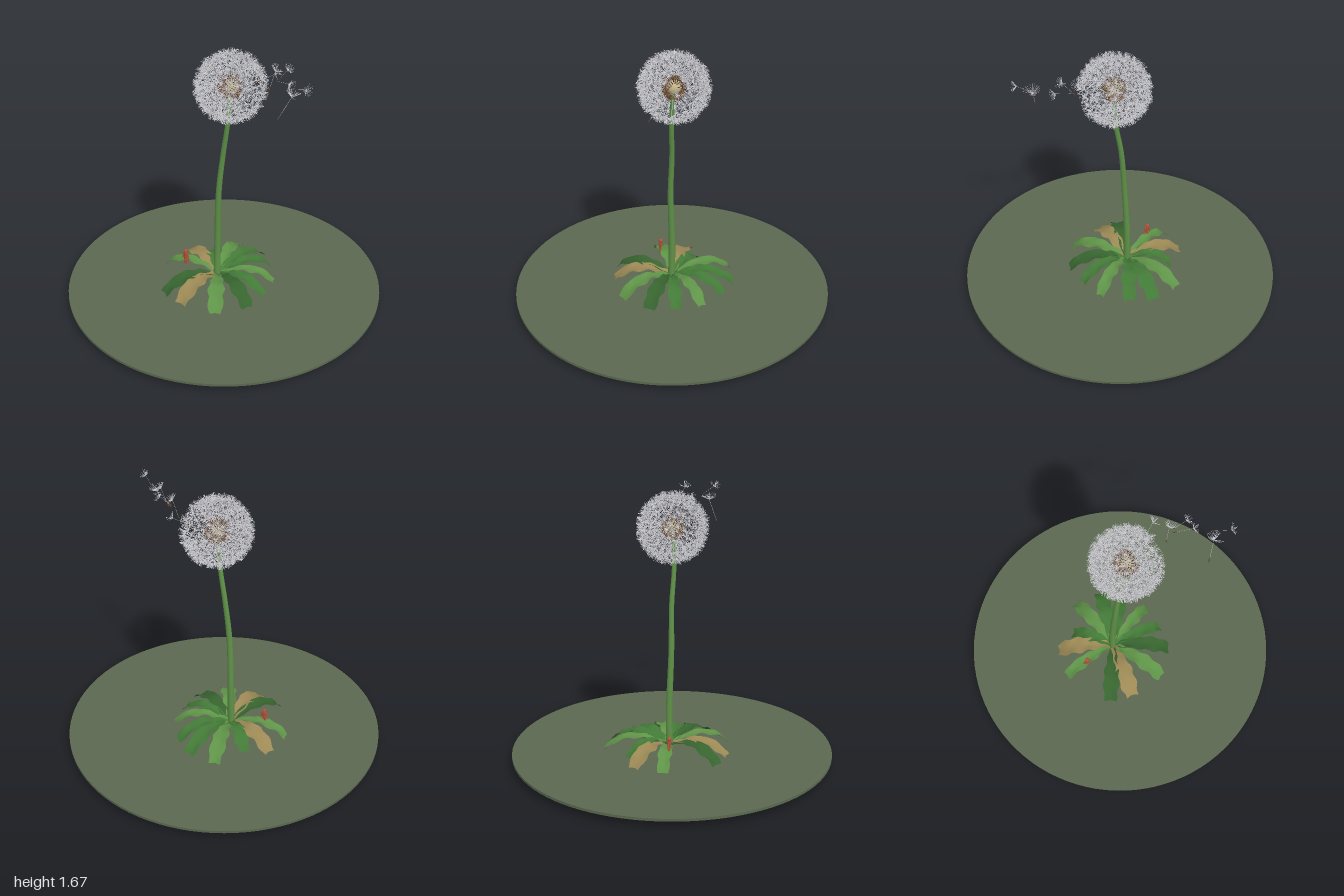
import * as THREE from 'three';
import { mergeGeometries } from 'three/addons/utils/BufferGeometryUtils.js';

const mat = (name, color, side = THREE.FrontSide) => {
  const m = new THREE.MeshStandardMaterial({ color, side });
  m.name = name;
  return m;
};
const V = (x, y, z) => new THREE.Vector3(x, y, z);
const UP = V(0, 1, 0);

// Seeded random numbers
let state = 11;
const rnd = () => {
  state = (state * 16807) % 2147483647;
  return state / 2147483647;
};

// Thin rod between two points
function rod(a, b, ra, rb, sides = 3, open = true) {
  const d = b.clone().sub(a);
  const g = new THREE.CylinderGeometry(rb, ra, d.length(), sides, 1, open);
  g.applyQuaternion(new THREE.Quaternion().setFromUnitVectors(UP, d.normalize()));
  return g.translate((a.x + b.x) / 2, (a.y + b.y) / 2, (a.z + b.z) / 2);
}

// One seed along +y with its base at the origin: achene, stalk and parachute hairs
function seedParts(hairCount) {
  const achene = new THREE.LatheGeometry(
    [[0, 0], [0.0035, 0.012], [0.0035, 0.02], [0.001, 0.032]].map(p => new THREE.Vector2(...p)), 5);
  const stalk = rod(V(0, 0.03, 0), V(0, 0.135, 0), 0.001, 0.0009);
  const hairs = [];
  for (let i = 0; i < hairCount; i++) {
    const a = i * 2.4, tilt = 0.45 + 0.95 * ((i * 0.618) % 1), l = 0.048;
    const tip = V(Math.cos(a) * Math.sin(tilt) * l, 0.135 + Math.cos(tilt) * l, Math.sin(a) * Math.sin(tilt) * l);
    hairs.push(rod(V(0, 0.135, 0), tip, 0.0011, 0.0007));
  }
  return { achene, stalk, hairs: mergeGeometries(hairs) };
}

// Leaf strip that arches over and droops to the ground, with scalloped edges
function leafGeometry(length, width, tipY, phase) {
  const g = new THREE.PlaneGeometry(2, 1, 4, 24);
  const arch = new THREE.SplineCurve([[0, 0.075], [0.25, 0.117], [0.52, 0.133], [0.8, 0.092], [1, tipY]]
    .map(p => new THREE.Vector2(...p)));
  const p = g.attributes.position, pt = new THREE.Vector2();
  for (let i = 0; i < p.count; i++) {
    const s = p.getX(i), t = p.getY(i) + 0.5;
    arch.getPoint(t, pt);
    const w = width * Math.min(1, 0.3 + 1.3 * t) * (1 - 0.7 * t ** 7)
      * (1 + 0.13 * Math.sin(t * 29 + phase + (s > 0 ? 0.8 : 0)));
    const ripple = 0.005 * s * s * Math.sin(t * 24 + phase);
    p.setXYZ(i, pt.x * length, pt.y + 0.01 * Math.abs(s) + ripple, -s * w);
  }
  g.computeVertexNormals();
  return g;
}

export function createModel() {
  const root = new THREE.Group();
  const M = {
    ground: mat('moss ground', 0x5b6850),
    stem: mat('stem green', 0x5f9148),
    light: mat('light leaf', 0x5f9448, THREE.DoubleSide),
    mid: mat('mid leaf', 0x437a37, THREE.DoubleSide),
    dark: mat('dark leaf', 0x37642f, THREE.DoubleSide),
    dry: mat('dry leaf', 0x9c8955, THREE.DoubleSide),
    cream: mat('receptacle cream', 0xc2b48c),
    brown: mat('seed brown', 0x6b4a2e, THREE.DoubleSide),
    hair: mat('seed hair', 0xdcdce2, THREE.DoubleSide),
    rust: mat('figure rust', 0xb5523a),
  };
  const add = (name, geo, material, parent = root) => {
    const m = new THREE.Mesh(geo, material);
    m.name = name;
    parent.add(m);
    return m;
  };

  // Ground disc
  add('ground', new THREE.CylinderGeometry(1, 1, 0.016, 96), M.ground).position.y = 0.047;

  // Curved stem, tapering upward
  const path = new THREE.CatmullRomCurve3([V(-0.055, 0.04, 0), V(-0.053, 0.3, -0.004), V(-0.036, 0.7, 0.006),
    V(-0.008, 0.97, 0), V(0.03, 1.2, 0.005), V(0.043, 1.42, -0.005)]);
  const stem = new THREE.TubeGeometry(path, 48, 0.023, 12);
  const sp = stem.attributes.position, v = V(0, 0, 0);
  for (let i = 0; i < sp.count; i++) {
    const t = Math.floor(i / 13) / 48, c = path.getPointAt(t);
    v.fromBufferAttribute(sp, i).sub(c).multiplyScalar(1 - 0.45 * t).add(c);
    sp.setXYZ(i, v.x, v.y, v.z);
  }
  add('stem', stem, M.stem);

  // Leaf rosette: tip x, tip z, half width, material
  const rosette = new THREE.Group();
  rosette.name = 'leafRosette';
  root.add(rosette);
  const base = V(-0.05, 0, -0.005);
  [[-0.165, -0.43, 0.048, 'light'], [0.035, -0.43, 0.05, 'mid'], [0.175, -0.34, 0.045, 'mid'],
    [0.31, -0.18, 0.04, 'light'], [0.33, 0, 0.042, 'mid'], [0.32, 0.18, 0.05, 'dark'],
    [0.18, 0.36, 0.05, 'light'], [-0.08, 0.4, 0.057, 'dry'], [-0.24, 0.37, 0.052, 'dark'],
    [-0.46, 0.065, 0.04, 'light'], [-0.43, -0.14, 0.055, 'dry'], [-0.28, -0.22, 0.045, 'mid'],
  ].forEach(([x, z, w, m], i) => {
    const dx = x - base.x, dz = z - base.z;
    const leaf = add('leaf', leafGeometry(Math.hypot(dx, dz), w, i % 3 ? 0.012 : 0, i * 1.7), M[m], rosette);
    leaf.position.copy(base);
    leaf.rotation.y = Math.atan2(-dz, dx);
  });

  // Seed head: receptacle ball and seeds spread evenly, with a gap on the windward side
  const centre = V(0.043, 1.438, -0.008);
  const ball = add('receptacle', new THREE.SphereGeometry(0.045, 20, 14), M.cream);
  ball.position.copy(centre);
  const parts = { achene: [], stalk: [], hairs: [] };
  const proto = seedParts(24);
  const place = (pos, dir, scale = 1) => {
    const q = new THREE.Quaternion().setFromUnitVectors(UP, dir)
      .multiply(new THREE.Quaternion().setFromAxisAngle(UP, rnd() * 6.28));
    const m = new THREE.Matrix4().compose(pos, q, V(scale, scale, scale));
    for (const k in parts) parts[k].push(proto[k].clone().applyMatrix4(m));
  };
  const count = 250, gap = V(1, 0.03, 0.02).normalize();
  for (let i = 0; i < count; i++) {
    const y = 1 - (2 * i + 1) / count, r = Math.sqrt(1 - y * y), a = i * 2.39996;
    const dir = V(Math.cos(a) * r, y, Math.sin(a) * r);
    const facing = dir.dot(gap);
    if (facing > 0.88 || (facing > 0.75 && rnd() < 0.5) || y < -0.985) continue;
    place(dir.clone().multiplyScalar(0.042 + rnd() * 0.008).add(centre), dir);
  }

  // Drifting seeds: achene point, then parachute point
  [[V(0.465, 1.41, 0.17), V(0.53, 1.57, 0.09)], [V(0.52, 1.57, 0.06), V(0.6, 1.61, 0.11)],
    [V(0.29, 1.46, -0.02), V(0.32, 1.6, -0.05)], [V(0.34, 1.54, -0.05), V(0.4, 1.62, -0.03)],
    [V(0.33, 1.54, -0.03), V(0.43, 1.56, 0.0)], [V(0.17, 1.47, -0.08), V(0.27, 1.53, -0.14)],
  ].forEach(([a, b]) => {
    const d = b.clone().sub(a);
    place(a, d.clone().normalize(), Math.min(1.15, Math.max(0.85, d.length() / 0.15)));
  });
  add('achenes', mergeGeometries(parts.achene), M.brown);
  add('seedStalks', mergeGeometries(parts.stalk), M.hair);
  add('seedHairs', mergeGeometries(parts.hairs), M.hair);

  // Tiny figure standing on a leaf
  const figure = new THREE.Group();
  figure.name = 'figure';
  figure.position.set(-0.265, 0.112, 0.055);
  root.add(figure);
  add('figureHead', new THREE.SphereGeometry(0.013, 12, 10), M.rust, figure).position.y = 0.096;
  add('figureBody', rod(V(0, 0.043, 0), V(0, 0.086, 0), 0.01, 0.013, 10, false), M.rust, figure);
  for (const s of [-1, 1]) {
    add('figureLeg', rod(V(s * 0.009, 0, 0), V(s * 0.006, 0.048, 0), 0.006, 0.006, 8, false), M.rust, figure);
    add('figureArm', rod(V(s * 0.024, 0.035, 0), V(s * 0.012, 0.083, 0), 0.004, 0.005, 8, false), M.rust, figure);
  }
  return root;
}
